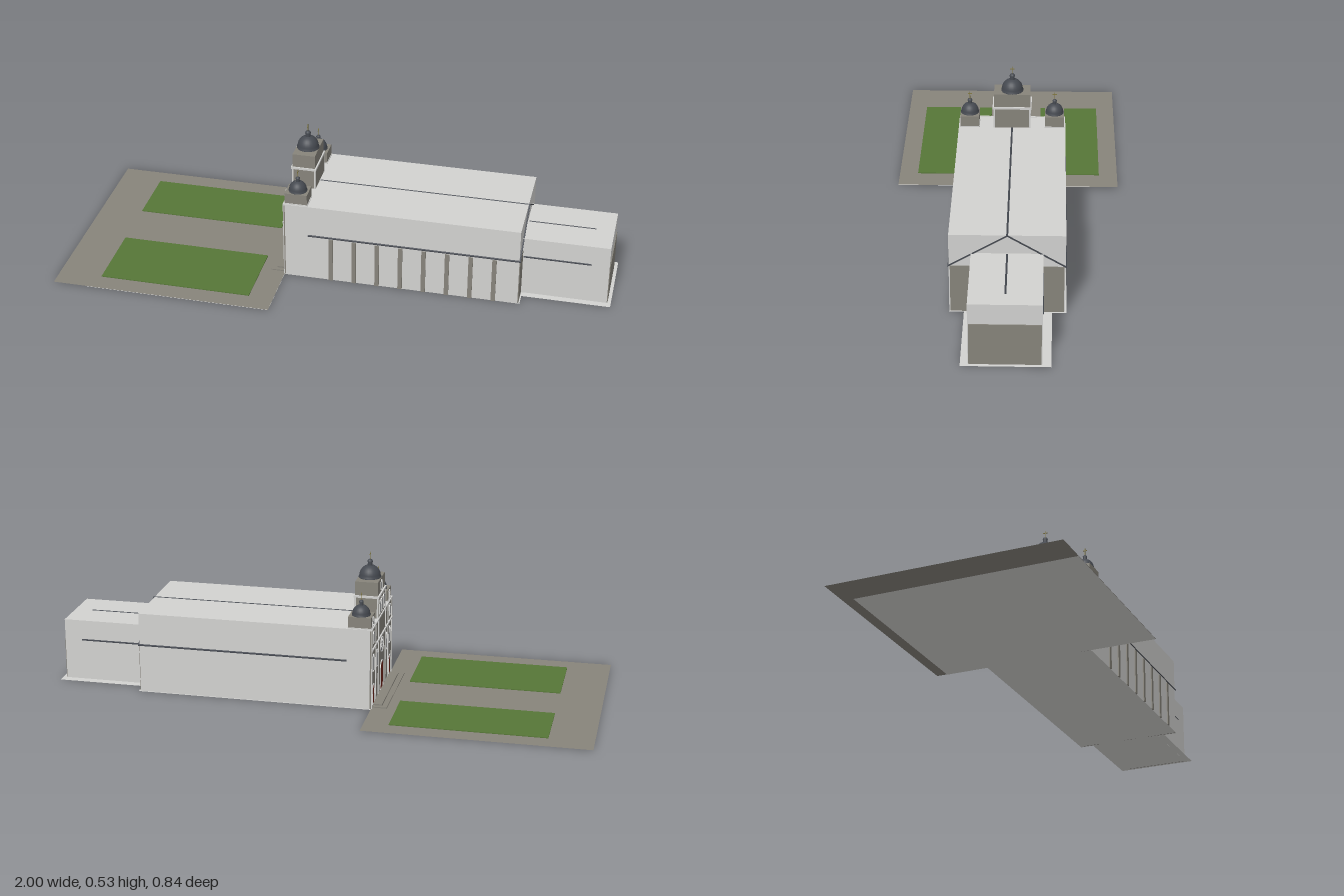
import * as THREE from 'three';

const mat = (name, color, side = THREE.FrontSide) => {
  const m = new THREE.MeshStandardMaterial({ color, side });
  m.name = name;
  return m;
};

export function createModel() {
  const root = new THREE.Group();
  root.name = 'church';
  const white = mat('white plaster', 0xd2d2d0, THREE.DoubleSide);
  const stone = mat('taupe stone', 0x87847b, THREE.DoubleSide);
  const green = mat('lawn green', 0x567637);
  const slate = mat('dark slate', 0x454950);
  const red = mat('door red', 0x6b2218);
  const glass = mat('window glass', 0x2c3036);
  const brass = mat('cross brass', 0x7d7440);

  const add = (name, geo, m, parent = root) => {
    const mesh = new THREE.Mesh(geo, m);
    mesh.name = name;
    parent.add(mesh);
    return mesh;
  };
  // Box given by its minimum and maximum corners
  const box = (name, m, x0, x1, y0, y1, z0, z1, parent) => {
    const mesh = add(name, new THREE.BoxGeometry(x1 - x0, y1 - y0, z1 - z0), m, parent);
    mesh.position.set((x0 + x1) / 2, (y0 + y1) / 2, (z0 + z1) / 2);
    return mesh;
  };
  // Flat ground rectangle
  const ground = (name, m, x0, x1, z0, z1, y) => {
    const mesh = add(name, new THREE.PlaneGeometry(x1 - x0, z1 - z0).rotateX(-Math.PI / 2), m);
    mesh.position.set((x0 + x1) / 2, y, (z0 + z1) / 2);
  };

  // Ground: paved square, lawns, foundation
  ground('plaza', stone, -1, -0.19, -0.42, 0.42, 0.0012);
  ground('plazaFoundation', white, -0.88, -0.19, -0.38, 0.42, 0);
  ground('naveFoundation', white, -0.19, 0.68, -0.22, 0.18, 0);
  ground('chancelFoundation', white, 0.68, 1, -0.17, 0.13, 0.0005);
  box('lawnBack', green, -0.84, -0.28, 0.0015, 0.0045, -0.35, -0.12);
  box('lawnFront', green, -0.84, -0.28, 0.0015, 0.0045, 0.08, 0.35);
  box('lowerStep', stone, -0.245, -0.19, 0.001, 0.005, -0.2, 0.165);
  box('upperStep', stone, -0.225, -0.19, 0.005, 0.01, -0.185, 0.15);

  // Nave and chancel, with stone on the lower part of the end walls
  box('nave', white, -0.185, 0.672, 0, 0.3, -0.215, 0.18);
  box('naveEndWall', stone, 0.672, 0.675, 0, 0.18, -0.211, 0.176);
  box('chancel', white, 0.672, 0.985, 0, 0.23, -0.14, 0.105);
  box('chancelEndWall', stone, 0.985, 0.988, 0, 0.155, -0.137, 0.102);

  // Thin gabled roof sheet that shows at the ridge, eaves and end
  const roof = (name, x0, x1, ridge, eave, half) => {
    const t = 0.004;
    const s = new THREE.Shape([[-half, eave], [0, ridge], [half, eave], [half, eave - t], [0, ridge - t], [-half, eave - t]]
      .map(([x, y]) => new THREE.Vector2(x, y)));
    const geo = new THREE.ExtrudeGeometry(s, { depth: x1 - x0, bevelEnabled: false }).rotateY(Math.PI / 2);
    add(name, geo, slate).position.set(x0, 0, -0.0175);
  };
  roof('naveRoof', -0.1, 0.677, 0.302, 0.181, 0.201);
  roof('chancelRoof', 0.677, 0.92, 0.232, 0.156, 0.125);

  // Buttress strips along one side
  for (let i = 0; i < 8; i++) {
    const x = -0.015 + i * 0.0855;
    box('sidePilaster', stone, x - 0.008, x + 0.008, 0, 0.173, 0.18, 0.184);
  }

  // Facade helpers: outlines in z and y, raised towards -x
  const relief = (name, shape, m, x, depth) =>
    add(name, new THREE.ExtrudeGeometry(shape, { depth, bevelEnabled: false, curveSegments: 12 })
      .rotateY(-Math.PI / 2), m).position.x = x;
  const archPath = (P, z, y, w, h) => {
    const p = new P();
    p.moveTo(z - w / 2, y);
    p.lineTo(z + w / 2, y);
    p.lineTo(z + w / 2, y + h - w / 2);
    p.absarc(z, y + h - w / 2, w / 2, 0, Math.PI, false);
    p.closePath();
    return p;
  };
  const arch = (name, z, y, w, h, m, x = -0.19, rim = 0.004) => {
    relief(name, archPath(THREE.Shape, z, y, w, h), m, x, 0.001);
    const frame = archPath(THREE.Shape, z, y - rim / 2, w + rim * 2, h + rim * 1.5);
    frame.holes.push(archPath(THREE.Path, z, y, w, h));
    relief(name + 'Frame', frame, white, x, 0.003);
  };

  // Facade wall, pilasters and cornices
  const mid = -0.0175;
  box('facadeWall', stone, -0.19, -0.185, 0, 0.3, -0.213, 0.178);
  for (const dz of [0.067, 0.118, 0.192])
    for (const s of [-1, 1])
      box('facadePilaster', white, -0.193, -0.19, 0, 0.298, mid + s * dz - 0.0035, mid + s * dz + 0.0035);
  box('facadeCornice', white, -0.195, -0.19, 0.218, 0.224, -0.215, 0.18);
  box('facadeTopCornice', white, -0.193, -0.185, 0.296, 0.301, -0.215, 0.18);

  // Doors, windows and rose window
  arch('mainDoor', mid, 0.01, 0.05, 0.105, red);
  for (const s of [-1, 1]) {
    const z = mid + s * 0.157;
    arch('sideDoor', z, 0.01, 0.032, 0.07, red);
    arch('sideWindow', z, 0.135, 0.02, 0.06, glass);
    arch('upperSideWindow', z, 0.242, 0.018, 0.04, glass);
    arch('narrowWindow', mid + s * 0.093, 0.13, 0.013, 0.06, glass);
  }
  const disc = new THREE.CylinderGeometry(0.026, 0.026, 0.002, 24).rotateZ(Math.PI / 2);
  add('roseGlass', disc, glass).position.set(-0.1905, 0.18, mid);
  const ring = (r, t) => add('roseRing', new THREE.TorusGeometry(r, t, 6, 24).rotateY(Math.PI / 2), white)
    .position.set(-0.1915, 0.18, mid);
  ring(0.027, 0.003);
  ring(0.009, 0.0015);
  for (let i = 0; i < 4; i++) {
    const bar = box('roseSpoke', white, -0.1925, -0.191, 0.154, 0.206, mid - 0.001, mid + 0.001);
    bar.rotation.x = (i * Math.PI) / 4;
  }

  // Dome with lantern and cross, standing at height y
  const dome = (z, y, r) => {
    const g = new THREE.Group();
    g.name = 'dome';
    g.position.set(-0.145, y, z);
    root.add(g);
    const k = r / 0.04;
    const profile = [[0.041, 0], [0.041, 0.004]];
    for (let i = 0; i <= 8; i++) {
      const a = (i / 8) * 1.32;
      profile.push([0.039 * Math.cos(a), 0.005 + 0.041 * Math.sin(a)]);
    }
    add('domeShell', new THREE.LatheGeometry(profile.map(([a, b]) => new THREE.Vector2(a * k, b * k)), 24), slate, g);
    add('lantern', new THREE.CylinderGeometry(0.008 * k, 0.009 * k, 0.018 * k, 12), slate, g).position.y = 0.052 * k;
    add('lanternCap', new THREE.SphereGeometry(0.0105 * k, 12, 6, 0, Math.PI * 2, 0, Math.PI / 2), slate, g)
      .position.y = 0.057 * k;
    const c = 0.063 * k;
    box('crossPost', brass, -0.001, 0.001, c, c + 0.031, -0.001, 0.001, g);
    box('crossArm', brass, -0.001, 0.001, c + 0.021, c + 0.0235, -0.008, 0.008, g);
  };

  // Central tower
  box('centralTower', stone, -0.189, -0.102, 0.3, 0.378, mid - 0.067, mid + 0.067);
  box('centralTowerTop', stone, -0.187, -0.104, 0.378, 0.435, mid - 0.067, mid + 0.067);
  box('centralCornice', white, -0.193, -0.099, 0.376, 0.384, mid - 0.072, mid + 0.072);
  for (const x of [-0.187, -0.104])
    for (const s of [-1, 1])
      box('towerCorner', white, x - 0.003, x + 0.003, 0.3, 0.376, mid + s * 0.066 - 0.003, mid + s * 0.066 + 0.003);
  for (const dz of [-0.035, 0, 0.035]) arch('belfryWindow', mid + dz, 0.312, 0.02, 0.05, glass, -0.189, 0.003);
  arch('centralTopWindow', mid, 0.392, 0.02, 0.034, glass, -0.187, 0.003);
  dome(mid, 0.435, 0.04);

  // Side towers
  for (const s of [-1, 1]) {
    const z = mid + s * 0.157;
    box('sideTower', stone, -0.187, -0.104, 0.3, 0.343, z - 0.035, z + 0.035);
    box('sideTowerCornice', white, -0.189, -0.102, 0.3, 0.304, z - 0.037, z + 0.037);
    arch('sideTowerWindow', z, 0.309, 0.016, 0.028, glass, -0.187, 0.003);
    dome(z, 0.343, 0.033);
  }
  return root;
}
